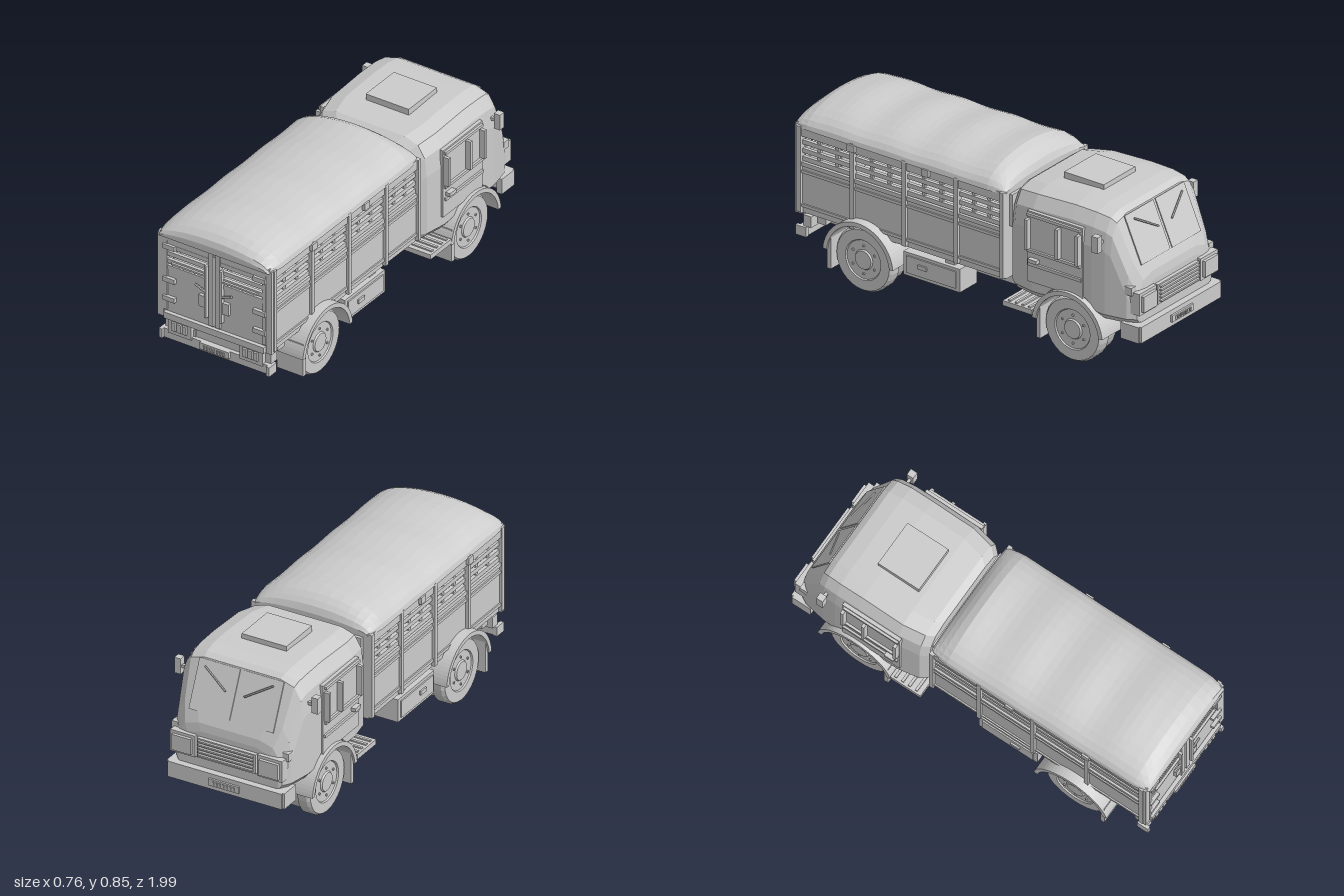
import * as THREE from 'three';

export function createModel() {
  const truck = new THREE.Group();
  truck.name = 'canvasToppedTruck';
  const grey = new THREE.MeshStandardMaterial({ color: 0xcccccc, flatShading: true, side: THREE.DoubleSide });
  grey.name = 'plain grey';

  const add = (name, geo) => {
    const m = new THREE.Mesh(geo, grey);
    m.name = name;
    truck.add(m);
    return m;
  };
  // Box given by its extents on each axis
  const box = (name, x0, x1, y0, y1, z0, z1) => {
    const m = add(name, new THREE.BoxGeometry(x1 - x0, y1 - y0, z1 - z0));
    m.position.set((x0 + x1) / 2, (y0 + y1) / 2, (z0 + z1) / 2);
    return m;
  };
  const pair = (name, x0, x1, ...r) => {
    box(name + 'Left', x0, x1, ...r);
    box(name + 'Right', -x1, -x0, ...r);
  };
  const rod = (name, a, b, r, n = 6) => {
    const p = new THREE.Vector3(...a), q = new THREE.Vector3(...b);
    const m = add(name, new THREE.CylinderGeometry(r, r, p.distanceTo(q), n));
    m.position.copy(p).add(q).multiplyScalar(0.5);
    m.quaternion.setFromUnitVectors(new THREE.Vector3(0, 1, 0), q.sub(p).normalize());
    return m;
  };
  // Skin over closed rings of equal length, with fan caps
  const loft = (name, rings) => {
    const n = rings[0].length, pos = rings.flat(2), idx = [];
    for (let i = 0; i < rings.length - 1; i++)
      for (let j = 0; j < n; j++) {
        const a = i * n + j, b = i * n + (j + 1) % n;
        idx.push(a, a + n, b, b, a + n, b + n);
      }
    const last = (rings.length - 1) * n;
    for (let j = 1; j < n - 1; j++) idx.push(0, j, j + 1, last, last + j + 1, last + j);
    const g = new THREE.BufferGeometry();
    g.setAttribute('position', new THREE.Float32BufferAttribute(pos, 3));
    g.setIndex(idx);
    g.computeVertexNormals();
    return add(name, g);
  };
  const lerpTable = (t, z) => {
    let i = 0;
    while (i < t.length - 2 && z < t[i + 1][0]) i++;
    const k = (z - t[i][0]) / (t[i + 1][0] - t[i][0]);
    return t[i].map((v, j) => v + (t[i + 1][j] - v) * k);
  };

  // Cab: z, roof height, half width
  const cabTable = [[-0.235, 0.75, 0.28], [-0.27, 0.775, 0.31], [-0.38, 0.79, 0.33], [-0.6, 0.8, 0.33],
    [-0.72, 0.797, 0.33], [-0.79, 0.787, 0.325], [-0.82, 0.77, 0.32], [-0.9, 0.59, 0.305], [-0.94, 0.5, 0.28], [-0.946, 0.46, 0.265]];
  const cabZ = cabTable.map(r => r[0]);
  for (let i = -6; i <= 6; i++) cabZ.push(-0.6 + i * 0.0285);
  const cabRings = [...new Set(cabZ)].sort((a, b) => b - a).map(z => {
    const [, t, w] = lerpTable(cabTable, z);
    const d = Math.abs(z + 0.6);
    const b = Math.max(0.265, d < 0.18 ? 0.16 + Math.sqrt(0.18 ** 2 - d * d) : 0);
    const half = [[w - 0.025, b], [w, b + 0.03], [w, t - 0.18], [w - 0.012, t - 0.085], [w - 0.048, t - 0.025], [w - 0.12, t - 0.003]];
    return [...half.map(([x, y]) => [x, y, z]), ...half.reverse().map(([x, y]) => [-x, y, z])];
  });
  loft('cab', cabRings);
  box('roofHatch', -0.118, 0.118, 0.79, 0.821, -0.63, -0.405);

  // Windscreen panes lying on the sloping front, and wipers
  for (const s of [-1, 1]) {
    const pane = add('windscreenPane', new THREE.BoxGeometry(0.215, 0.24, 0.006));
    pane.position.set(s * 0.115, 0.652, -0.873);
    pane.rotation.x = 0.418;
    rod('wiper', [s * 0.18, 0.74, -0.85], [s * 0.05, 0.665, -0.89], 0.005);
  }

  // Cab doors with raised window surround
  pair('door', 0.32, 0.338, 0.345, 0.7, -0.675, -0.36);
  pair('doorWaistTrim', 0.33, 0.348, 0.43, 0.445, -0.67, -0.37);
  for (const z of [-0.66, -0.545, -0.372]) pair('windowPillar', 0.33, 0.366, 0.515, 0.665, z - 0.008, z + 0.008);
  for (const y of [0.505, 0.685]) pair('windowSill', 0.33, 0.35, y - 0.007, y + 0.007, -0.665, -0.365);
  pair('doorHandle', 0.335, 0.362, 0.452, 0.47, -0.43, -0.38);
  pair('mirror', 0.345, 0.378, 0.62, 0.7, -0.79, -0.755);
  pair('mirrorArm', 0.3, 0.35, 0.65, 0.665, -0.78, -0.765);

  // Front face: grille, headlamps, bumper
  box('grillePanel', -0.155, 0.155, 0.33, 0.43, -0.965, -0.93);
  for (let i = 0; i < 5; i++) box('grilleBar', -0.145, 0.145, 0.343 + i * 0.018, 0.351 + i * 0.018, -0.977, -0.96);
  pair('headlampHousing', 0.165, 0.295, 0.325, 0.435, -0.965, -0.9);
  pair('headlamp', 0.18, 0.28, 0.34, 0.42, -0.98, -0.96);
  pair('cornerLamp', 0.275, 0.308, 0.42, 0.46, -0.93, -0.89);
  box('frontBumper', -0.3, 0.3, 0.195, 0.275, -0.98, -0.9);
  pair('frontBumperEnd', 0.28, 0.31, 0.195, 0.275, -0.97, -0.87);
  const numberPlate = (z0, z1, y) => {
    box('numberPlate', -0.08, 0.08, y - 0.017, y + 0.017, z0, z1);
    for (let i = -3; i <= 3; i++) box('plateRib', i * 0.018 - 0.004, i * 0.018 + 0.004, y - 0.009, y + 0.009, z0 - 0.005, z1 + 0.005);
  };
  numberPlate(-0.99, -0.975, 0.235);

  // Canvas cover with gentle waves between its hoops
  const canvasZ = [0.988, 0.978, 0.95, 0.91];
  for (let i = 0; i <= 28; i++) canvasZ.push(0.87 - i * 0.0365);
  canvasZ.push(-0.18, -0.2, -0.213);
  loft('canvasCover', canvasZ.map(z => {
    const end = Math.min(0.988 - z, z + 0.213);
    const e = Math.sqrt(Math.min(1, Math.max(0, end / 0.09)));
    const h = 0.035 + (0.085 + 0.006 * Math.cos((z - 0.17) / 0.293 * Math.PI * 2)) * e;
    const w = 0.297 + 0.023 * e, ring = [];
    for (let i = 0; i <= 16; i++) {
      const a = i / 16 * Math.PI;
      ring.push([w * Math.cos(a), 0.722 + h * Math.sin(a), z]);
    }
    return ring;
  }));

  // Load bed
  box('bedFloor', -0.3, 0.3, 0.292, 0.335, -0.2, 0.965);
  box('headboard', -0.3, 0.3, 0.292, 0.72, -0.21, -0.19);
  box('headboardUpper', -0.27, 0.27, 0.55, 0.71, -0.226, -0.2);
  pair('sidePanel', 0.29, 0.305, 0.325, 0.54, -0.2, 0.96);
  for (const [y0, y1] of [[0.325, 0.34], [0.495, 0.51], [0.53, 0.55], [0.68, 0.73]])
    pair('sideRail', 0.295, 0.312, y0, y1, -0.21, 0.965);
  for (const y of [0.565, 0.605, 0.648]) pair('sideSlat', 0.285, 0.303, y - 0.011, y + 0.011, -0.2, 0.96);
  const posts = [0.95, 0.65, 0.355, 0.06, -0.2];
  posts.forEach((z, i) => {
    pair('sidePost', 0.29, 0.319, 0.3, 0.73, z - 0.011, z + 0.011);
    if (i < 4) for (const k of [0.33, 0.67]) {
      const zz = z + (posts[i + 1] - z) * k;
      pair('slatUpright', 0.283, 0.297, 0.54, 0.69, zz - 0.009, zz + 0.009);
    }
  });
  for (const z of [0.65, 0.23]) pair('coverLatch', 0.305, 0.328, 0.69, 0.725, z - 0.02, z + 0.02);

  // Rear doors
  box('rearSill', -0.275, 0.275, 0.287, 0.32, 0.95, 0.985);
  box('rearHeader', -0.3, 0.3, 0.7, 0.74, 0.95, 0.975);
  pair('rearCornerPost', 0.282, 0.313, 0.29, 0.73, 0.94, 0.975);
  pair('rearDoorPanel', 0.015, 0.28, 0.33, 0.545, 0.95, 0.968);
  pair('rearDoorInner', 0.006, 0.03, 0.33, 0.725, 0.95, 0.98);
  pair('rearDoorOuter', 0.262, 0.28, 0.33, 0.7, 0.95, 0.975);
  for (const y of [0.557, 0.59, 0.63, 0.67, 0.693]) pair('rearDoorSlat', 0.02, 0.27, y - 0.011, y + 0.011, 0.955, 0.972);
  for (const y of [0.395, 0.495, 0.67]) pair('hinge', 0.215, 0.28, y - 0.012, y + 0.012, 0.965, 0.985);
  pair('lockRod', 0.036, 0.048, 0.37, 0.645, 0.97, 0.99);
  pair('lockBox', 0.05, 0.082, 0.42, 0.48, 0.965, 0.985);
  pair('slatBrace', 0.05, 0.235, 0.583, 0.592, 0.97, 0.983);
  for (const s of [-1, 1]) rod('lockLever', [s * 0.045, 0.508, 0.985], [s * 0.1, 0.53, 0.985], 0.006);

  // Chassis
  pair('chassisRail', 0.12, 0.165, 0.2, 0.255, -0.9, 0.95);
  for (const z of [-0.86, -0.3, 0, 0.4, 0.85]) box('crossMember', -0.15, 0.15, 0.21, 0.25, z - 0.025, z + 0.025);
  for (const z of [0.12, 0.6, 0.85]) box('bedBearer', -0.28, 0.28, 0.25, 0.3, z - 0.025, z + 0.025);
  box('engineBlock', -0.115, 0.115, 0.18, 0.3, -0.75, -0.35);
  rod('driveShaft', [0, 0.142, 0.55], [0, 0.147, -0.39], 0.018, 10);
  pair('toolBox', 0.17, 0.3, 0.148, 0.265, 0.05, 0.37);
  pair('toolBoxLid', 0.29, 0.307, 0.165, 0.25, 0.07, 0.35);
  pair('toolBoxCatch', 0.3, 0.315, 0.205, 0.225, 0.23, 0.28);
  pair('stepBracket', 0.15, 0.21, 0.19, 0.235, -0.36, -0.27);
  pair('step', 0.19, 0.355, 0.19, 0.215, -0.4, -0.235);
  for (let i = 0; i < 4; i++) pair('stepTread', 0.22, 0.345, 0.21, 0.222, -0.385 + i * 0.038, -0.372 + i * 0.038);

  // Rear bumper and lamps
  box('rearBumper', -0.3, 0.3, 0.172, 0.22, 0.925, 0.965);
  box('rearCrossBeam', -0.29, 0.29, 0.22, 0.275, 0.9, 0.945);
  pair('rearBumperEnd', 0.285, 0.303, 0.172, 0.22, 0.92, 0.98);
  pair('tailLampHousing', 0.132, 0.26, 0.207, 0.287, 0.94, 0.97);
  for (const x of [0.165, 0.195, 0.225]) pair('tailLamp', x - 0.012, x + 0.012, 0.23, 0.273, 0.965, 0.98);
  numberPlate(0.965, 0.98, 0.205);

  // Wheels with stepped tyres, axles and mudguards
  const tyreProfile = [[0, 0.01], [0.09, 0.01], [0.095, -0.028], [0.145, -0.028], [0.145, 0.04], [0.16, 0.045], [0.16, 0.092],
    [0.15, 0.107], [0.1, 0.107], [0.096, 0.1], [0.05, 0.1], [0.045, 0.108], [0, 0.108]].map(p => new THREE.Vector2(...p));
  const arch = new THREE.Shape();
  arch.absarc(0, 0, 0.2, 0.1, Math.PI - 0.1, false);
  arch.absarc(0, 0, 0.178, Math.PI - 0.1, 0.1, true);
  for (const z of [0.587, -0.6]) {
    rod('axle', [-0.22, 0.14, z], [0.22, 0.14, z], 0.022, 12);
    rod('axleCasing', [-0.09, 0.147, z], [0.09, 0.147, z], 0.062, 16);
    for (const s of [-1, 1]) {
      const wheel = new THREE.Group();
      wheel.name = 'wheel';
      const tyre = new THREE.Mesh(new THREE.LatheGeometry(tyreProfile, 28), grey);
      tyre.name = 'tyreAndRim';
      wheel.add(tyre);
      for (let i = 0; i < 6; i++) {
        const bolt = new THREE.Mesh(new THREE.CylinderGeometry(0.006, 0.006, 0.008, 6), grey);
        bolt.name = 'wheelBolt';
        bolt.position.set(0.07 * Math.cos(i * Math.PI / 3), 0.102, 0.07 * Math.sin(i * Math.PI / 3));
        wheel.add(bolt);
      }
      wheel.rotation.z = -s * Math.PI / 2;
      wheel.position.set(s * 0.208, 0.16, z);
      truck.add(wheel);
      const guard = add('mudguard', new THREE.ExtrudeGeometry(arch, { depth: 0.155, bevelEnabled: false, curveSegments: 16 }));
      guard.rotation.y = Math.PI / 2;
      guard.position.set(s > 0 ? 0.2 : -0.355, 0.16, z);
    }
    pair('mudFlap', 0.2, 0.345, 0.08, 0.25, z + 0.16, z + 0.182);
  }
  return truck;
}
